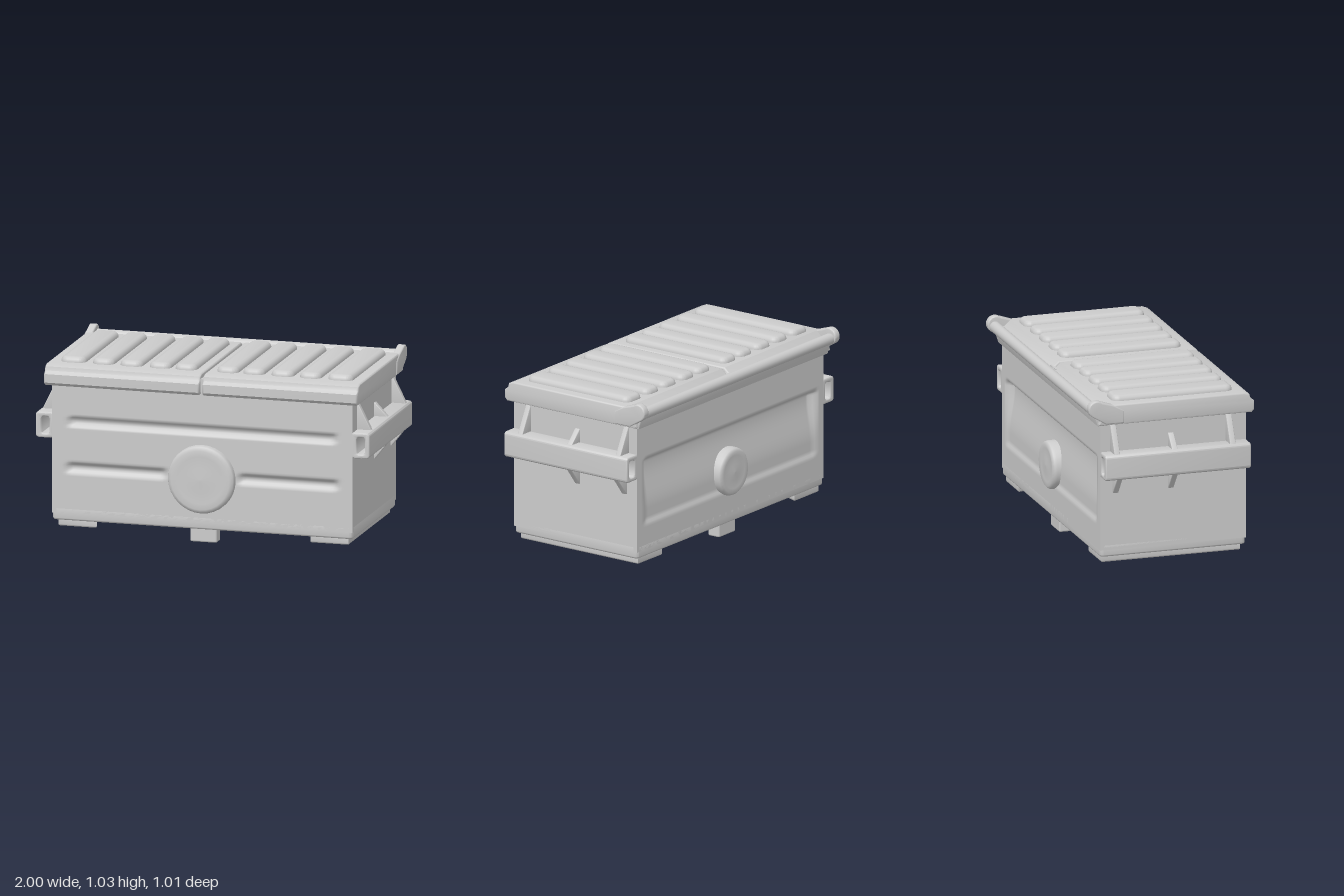
import * as THREE from 'three';
import { toCreasedNormals } from 'three/addons/utils/BufferGeometryUtils.js';
import { RoundedBoxGeometry } from 'three/addons/geometries/RoundedBoxGeometry.js';

const mat = new THREE.MeshStandardMaterial({ color: 0xcccccc });
const V = (x, y) => new THREE.Vector2(x, y);
const step = (v, a, b) => THREE.MathUtils.smoothstep(v, a, b);
// 1 inside [a, b], fading to 0 over f
const band = (v, a, b, f) => step(v, a - f, a) * (1 - step(v, b, b + f));

function roundRect(x0, y0, x1, y1, r, S = THREE.Shape) {
  const s = new S();
  s.absarc(x1 - r, y1 - r, r, 0, Math.PI / 2);
  s.absarc(x0 + r, y1 - r, r, Math.PI / 2, Math.PI);
  s.absarc(x0 + r, y0 + r, r, Math.PI, Math.PI * 1.5);
  s.absarc(x1 - r, y0 + r, r, Math.PI * 1.5, Math.PI * 2);
  s.closePath();
  return s;
}

// Extrude whose total depth includes its bevel b
function extrude(shape, depth, b = 0) {
  const g = new THREE.ExtrudeGeometry(shape, {
    depth: depth - 2 * b, curveSegments: 8, bevelEnabled: b > 0,
    bevelSize: b, bevelOffset: -b, bevelThickness: b, bevelSegments: 3,
  });
  g.translate(0, 0, b);
  return toCreasedNormals(g, 0.7);
}

// Profile in (z, y), extruded from x0 to x1
function alongX(points, x0, x1, b) {
  const shape = Array.isArray(points) ? new THREE.Shape(points) : points;
  return extrude(shape, x1 - x0, b).rotateY(-Math.PI / 2).translate(x1, 0, 0);
}

// Plan outline in (x, z), extruded down from yTop
const downFrom = (shape, yTop, depth, b) =>
  extrude(shape, depth, b).rotateX(Math.PI / 2).translate(0, yTop, 0);

function bodyGeometry() {
  const g = new THREE.BoxGeometry(1.8, 0.78, 0.88, 90, 70, 1);
  g.translate(0, 0.51, 0.02);
  const p = g.attributes.position;
  for (let i = 0; i < p.count; i++) {
    const x = p.getX(i), y = p.getY(i), ax = Math.abs(x);
    if (p.getZ(i) > 0.4) {
      // two pressed grooves in the front
      const upper = band(y, 0.655, 0.675, 0.025) * band(ax, -1, 0.77, 0.05);
      const lower = band(y, 0.385, 0.4, 0.03) * band(ax, 0.25, 0.78, 0.05);
      p.setZ(i, 0.46 - 0.022 * upper - 0.025 * lower);
    } else {
      // scooped panel in the back, deepest below its upper edge
      const scoop = band(y, 0.3, 0.64, 0.035) * band(ax, -1, 0.8, 0.04);
      p.setZ(i, -0.42 + scoop * (0.012 + 0.03 * step(y, 0.36, 0.62)));
    }
  }
  g.computeVertexNormals();
  return g;
}

function discGeometry(r, depth) {
  const pts = [V(r, 0), V(r, depth * 0.55), V(r * 0.97, depth * 0.8), V(r * 0.87, depth),
    V(r * 0.7, depth * 0.92), V(r * 0.35, depth * 0.95), V(0, depth)];
  return new THREE.LatheGeometry(pts, 32).rotateX(Math.PI / 2);
}

export function createModel() {
  const root = new THREE.Group();
  root.name = 'dumpster';
  const add = (name, geo) => {
    const m = new THREE.Mesh(geo, mat);
    m.name = name;
    root.add(m);
    return m;
  };

  // Body with a recessed floor
  add('body', bodyGeometry());
  const rim = roundRect(-0.9, -0.42, 0.9, 0.46, 0.025);
  rim.holes.push(roundRect(-0.82, -0.34, 0.82, 0.38, 0.03, THREE.Path));
  add('bottomRim', downFrom(rim, 0.16, 0.08, 0.012));

  // Round badges on both long walls
  add('frontDisc', discGeometry(0.2, 0.06)).position.set(0, 0.38, 0.45);
  const back = add('backDisc', discGeometry(0.142, 0.065));
  back.position.set(0, 0.387, -0.39);
  back.rotation.y = Math.PI;

  // Centre feet
  for (const z of [0.4, -0.358]) {
    add('centerFoot', new RoundedBoxGeometry(0.16, 0.12, 0.08, 2, 0.01)).position.set(0, 0.06, z);
  }

  // Lid filler under the centre seam
  add('lidSeam', new THREE.BoxGeometry(0.1, 0.08, 0.88)).position.set(0, 0.93, 0.03);

  const lidProfile = [V(0.485, 0.878), V(0.5, 0.895), V(0.5, 0.945), V(0.478, 0.962), V(0.472, 0.985),
    V(0.44, 0.998), V(-0.37, 0.998), V(-0.4, 0.97), V(-0.43, 0.95), V(-0.44, 0.885), V(-0.43, 0.878)];
  const ribs = [[0.06, 0.19], [0.215, 0.345], [0.385, 0.52], [0.555, 0.685], [0.725, 0.875]];
  const arm = new THREE.Shape([V(-0.29, 0.885), V(-0.29, 0.96), V(-0.35, 0.995)]);
  arm.lineTo(-0.425, 1.02);
  arm.absarc(-0.455, 0.978, 0.05, 0.95, Math.PI + 0.95, false);
  arm.lineTo(-0.4, 0.885);

  for (const s of [1, -1]) {
    const place = (name, geo, x0, x1) => {
      if (s < 0) geo.translate(-(x0 + x1), 0, 0);
      add(name, geo);
    };

    // Lid panel and its raised ribs
    place('lidPanel', alongX(lidProfile, 0.008, 0.94, 0.01), 0.008, 0.94);
    for (const [a, b] of ribs) {
      place('lidRib', downFrom(roundRect(a, -0.335, b, 0.395, 0.045), 1.03, 0.07, 0.028), a, b);
    }

    // Arm holding the hinge bar
    place('hingeArm', alongX(arm, 0.9, 0.945, 0.008), 0.9, 0.945);

    // Skirt under each end, turning the corners
    const skirt = new THREE.Shape([V(0.64, 0.435), V(0.87, 0.435), V(0.87, -0.405), V(0.64, -0.405),
      V(0.66, -0.345), V(0.81, -0.345), V(0.81, 0.375), V(0.66, 0.375)].map((v) => V(v.x * s, v.y)));
    add('endSkirt', downFrom(skirt, 0.1, 0.06, 0.01));

    // Hollow fork sleeve
    const sleeve = roundRect(0.89, 0.56, 1, 0.712, 0.02);
    sleeve.holes.push(roundRect(0.925, 0.585, 0.972, 0.685, 0.014, THREE.Path));
    place('forkSleeve', extrude(sleeve, 0.88, 0.008).translate(0, 0, -0.42), 0.89, 1 - 0.0 + 0.0 === 1 ? 0.89 + 0.11 : 1);

    // Gussets above and below the sleeve
    const gussets = [[0.355, 0.87, 0.7], [0.005, 0.79, 0.7], [-0.345, 0.87, 0.7],
      [0.005, 0.46, 0.57], [-0.33, 0.46, 0.57]];
    for (const [z, yWall, ySleeve] of gussets) {
      const tri = [V(0.89, yWall), V(0.905, yWall), V(0.99, ySleeve), V(0.89, ySleeve)]
        .map((v) => V(v.x * s, v.y));
      add('gusset', extrude(new THREE.Shape(tri), 0.034, 0.004).translate(0, 0, z - 0.017));
    }
  }

  // Hinge bar and the ledge joining it to the back wall
  add('hingeBar', new THREE.CylinderGeometry(0.033, 0.033, 1.84, 20).rotateZ(Math.PI / 2))
    .position.set(0, 0.965, -0.462);
  const ledge = [V(-0.38, 0.87), V(-0.38, 0.965), V(-0.46, 0.965), V(-0.46, 0.935), V(-0.44, 0.87)];
  add('hingeLedge', alongX(ledge, -0.915, 0.915, 0.006));
  return root;
}
